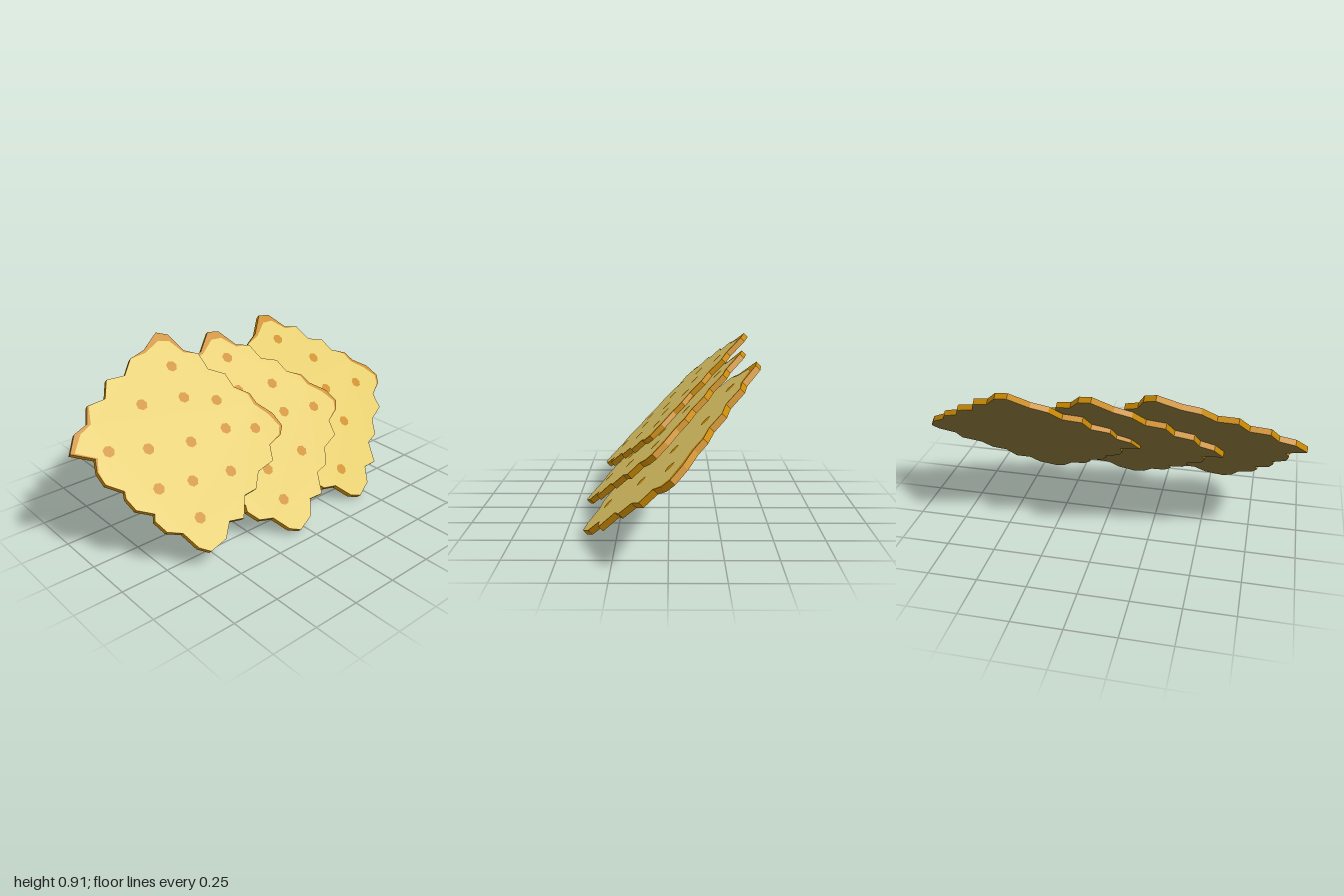
import * as THREE from 'three';

const THICK = 0.03;

// Scalloped outline of one cracker, clockwise from its left corner
const OUTLINE = [
  [-.56, .107], [-.50, .19], [-.42, .217], [-.38, .30], [-.28, .306], [-.23, .395], [-.13, .388],
  [-.06, .464], [.03, .487], [.14, .56], [.20, .53], [.24, .423], [.31, .382], [.32, .285],
  [.40, .23], [.41, .148], [.48, .086], [.49, .024], [.55, -.058], [.567, -.14], [.53, -.182],
  [.44, -.21], [.41, -.292], [.30, -.313], [.24, -.388], [.16, -.395], [.10, -.495], [.02, -.478],
  [-.04, -.548], [-.14, -.57], [-.19, -.53], [-.23, -.437], [-.30, -.402], [-.33, -.333],
  [-.315, -.30], [-.39, -.251], [-.41, -.182], [-.40, -.148], [-.47, -.086], [-.48, -.017], [-.46, .045],
].map(([x, y]) => new THREE.Vector2(x, y));

// Toasted corners, where the pale top stops short of the edge: [x, y, inset]
const TOASTED = [[.15, .56, .09], [-.5, .17, .06], [.54, -.03, .06]];

// Three overlapping crackers, each leaning on the next; dots are [x, y] on the face
const CRACKERS = [
  {
    name: 'upperCracker', position: [-0.44, 0.4905, -0.0305], lean: 0.045, spin: 0,
    dots: [[.13, .359], [.11, .183], [.275, .112], [-.12, .218], [-.195, -.001], [-.385, .055], [.03, -.044],
      [.245, -.044], [.405, -.1], [-.24, -.199], [-.06, -.227], [.155, -.256], [-.115, -.404]],
  },
  {
    name: 'middleCracker', position: [-0.025, 0.424, 0.021], lean: 0.05, spin: 10.7,
    dots: [[.065, .403], [.245, .184], [.225, .014], [.42, -.02], [.205, -.218], [-.04, -.41], [-.04, -.236], [.03, .214]],
  },
  {
    name: 'lowerCracker', position: [0.412, 0.421, -0.011], lean: 0, spin: 14.8,
    dots: [[.028, .407], [.198, .237], [.168, .04], [.398, .012], [.168, -.173], [-.022, -.413]],
  },
];

function insetPoint(p) {
  let k = 1;
  for (const [x, y, inset] of TOASTED) {
    const d = Math.hypot(p.x - x, p.y - y);
    k -= inset * Math.max(0, 1 - d / 0.24);
  }
  return p.clone().multiplyScalar(k);
}

function flatColour(name, color) {
  const material = new THREE.MeshStandardMaterial({ color });
  material.name = name;
  return material;
}

function add(parent, name, geometry, material, x, y, z) {
  const mesh = new THREE.Mesh(geometry, material);
  mesh.name = name;
  mesh.position.set(x, y, z);
  parent.add(mesh);
  return mesh;
}

export function createModel() {
  const model = new THREE.Group();
  model.name = 'crackers';

  const pale = flatColour('paleCracker', 0xe3ca66);
  const toasted = flatColour('toastedGold', 0xca8a04);
  const under = flatColour('darkUnderside', 0x7f6c33);

  // Shared geometry
  const slabGeo = new THREE.ExtrudeGeometry(new THREE.Shape(OUTLINE), { depth: THICK, bevelEnabled: false });
  slabGeo.translate(0, 0, -THICK / 2);
  const topGeo = new THREE.ShapeGeometry(new THREE.Shape(OUTLINE.map(insetPoint)));
  const bottomGeo = new THREE.ShapeGeometry(new THREE.Shape(OUTLINE.map((p) => new THREE.Vector2(-p.x, p.y))));
  const dotGeo = new THREE.CircleGeometry(0.03, 7);

  for (const { name, position, lean, spin, dots } of CRACKERS) {
    const cracker = new THREE.Group();
    cracker.name = name;
    cracker.position.set(...position);
    cracker.rotation.set(-Math.PI / 4, -lean, 0);
    model.add(cracker);

    // Slab with its pale top and dark underside
    const slab = new THREE.Group();
    slab.name = 'slab';
    slab.rotation.z = THREE.MathUtils.degToRad(spin);
    cracker.add(slab);
    add(slab, 'toastedEdge', slabGeo, toasted, 0, 0, 0);
    add(slab, 'topFace', topGeo, pale, 0, 0, THICK / 2 + 0.002);
    add(slab, 'bottomFace', bottomGeo, under, 0, 0, -THICK / 2 - 0.001).rotation.y = Math.PI;

    // Docking holes
    for (const [x, y] of dots) add(cracker, 'dot', dotGeo, toasted, x, y, THICK / 2 + 0.004);
  }

  return model;
}
